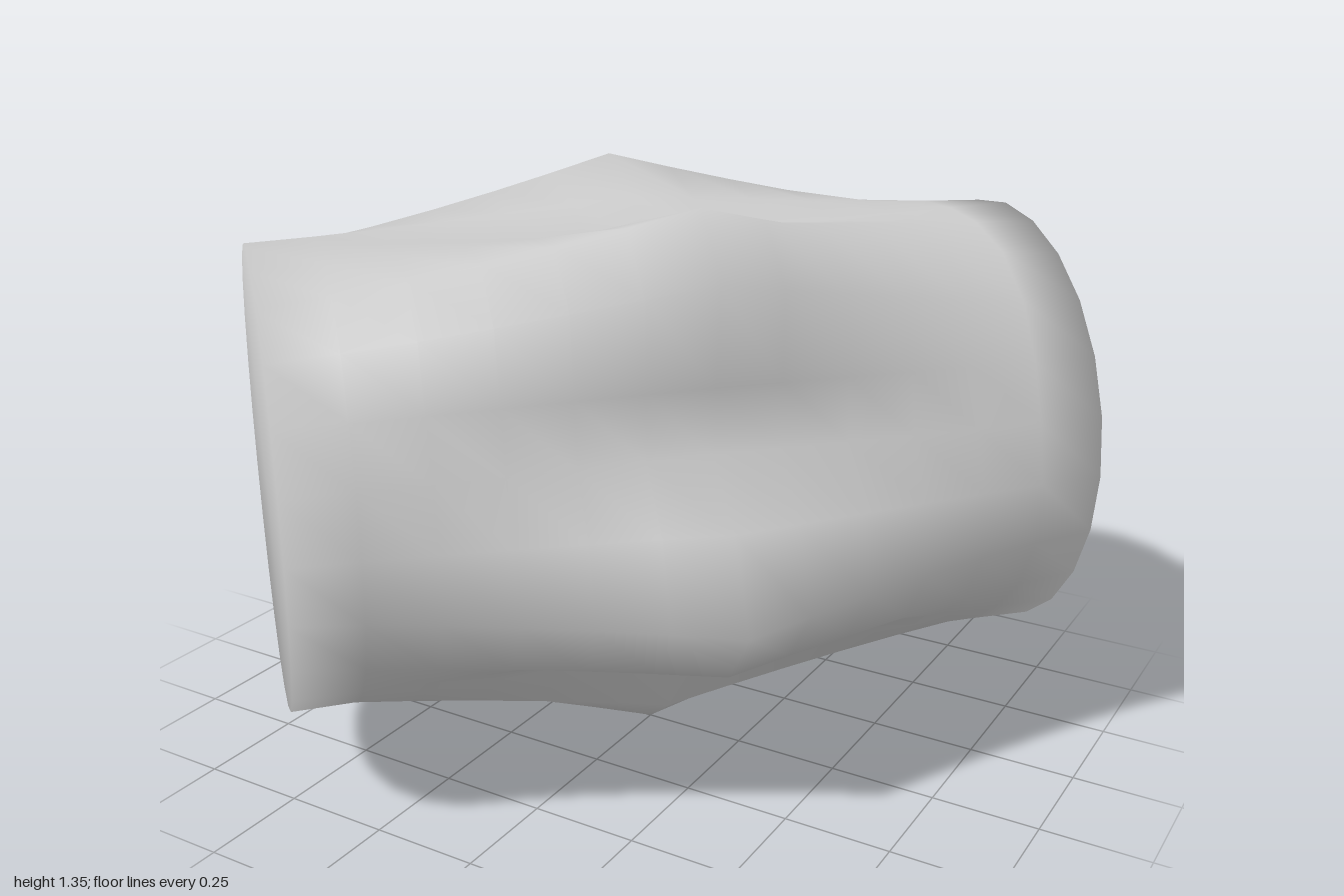
import * as THREE from 'three';
import { mergeVertices } from 'three/addons/utils/BufferGeometryUtils.js';

const END_RADIUS = 0.515;   // round end discs
const HALF_LENGTH = 0.885;
const CENTRE_Y = 0.73;

// Five-lobed section at the middle, with one lobe pointing straight down
const lobedRadius = (angle) => 0.603 - 0.127 * Math.sin(5 * angle);

export function createModel() {
  const group = new THREE.Group();
  group.name = 'lobedBarrel';

  // Drum whose round ends swell into the lobed section halfway along
  let geometry = new THREE.CylinderGeometry(1, 1, 2, 24, 12);
  geometry.deleteAttribute('uv');
  geometry.deleteAttribute('normal');
  const position = geometry.attributes.position;

  // Horizontal directions across and along the drum
  const across = new THREE.Vector3(0.735, 0, 0.678);
  const along = new THREE.Vector3(0.678, 0, -0.735);
  const up = new THREE.Vector3(0, 1, 0);
  const v = new THREE.Vector3();
  const out = new THREE.Vector3();
  for (let i = 0; i < position.count; i++) {
    v.fromBufferAttribute(position, i);
    const swell = Math.pow(Math.max(0, 1 - Math.abs(v.y)), 1.3);
    const radius = THREE.MathUtils.lerp(END_RADIUS, lobedRadius(Math.atan2(v.z, v.x)), swell);
    out.set(0, CENTRE_Y, 0)
      .addScaledVector(across, v.x * radius)
      .addScaledVector(up, v.z * radius)
      .addScaledVector(along, v.y * HALF_LENGTH);
    position.setXYZ(i, out.x, out.y, out.z);
  }

  // Weld so the shading runs smoothly over the rims
  geometry = mergeVertices(geometry, 1e-4);
  geometry.computeVertexNormals();

  const body = new THREE.Mesh(geometry, new THREE.MeshStandardMaterial({ color: 0xcccccc }));
  body.name = 'body';
  group.add(body);
  return group;
}
